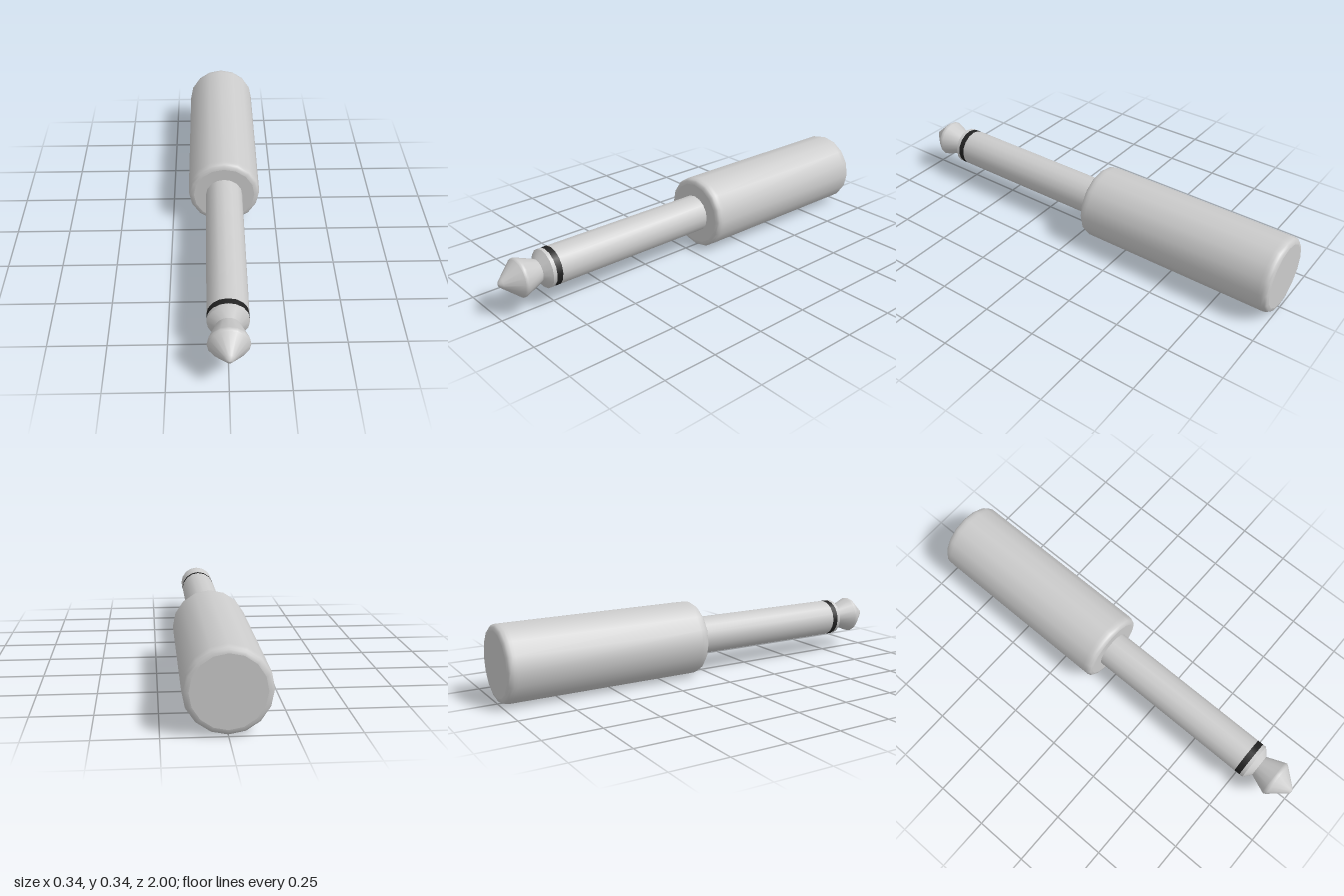
import * as THREE from 'three';

const AXIS_Y = 0.171;
const SIDES = 16;

export function createModel() {
  const model = new THREE.Group();
  const grey = new THREE.MeshStandardMaterial({ color: 0xcccccc });
  const black = new THREE.MeshStandardMaterial({ color: 0x222222 });

  // Revolves [radius, z] runs (back to front) about the z axis; edges between runs stay sharp
  function turned(name, runs, material = grey) {
    const part = new THREE.Group();
    part.name = name;
    runs.forEach((run, i) => {
      const points = run.map(([r, z]) => new THREE.Vector2(r, z));
      const geometry = new THREE.LatheGeometry(points, SIDES);
      geometry.rotateX(Math.PI / 2);
      const mesh = new THREE.Mesh(geometry, material);
      mesh.name = `${name}Surface${i + 1}`;
      mesh.position.y = AXIS_Y;
      part.add(mesh);
    });
    model.add(part);
  }

  // Handle sleeve with softly rounded ends
  turned('handle', [
    [[0, -1], [0.145, -1]],
    [[0.145, -1], [0.158, -0.997], [0.166, -0.989], [0.17, -0.975], [0.17, -0.96]],
    [[0.17, -0.96], [0.17, -0.095]],
    [[0.17, -0.095], [0.17, -0.08], [0.166, -0.066], [0.158, -0.058], [0.145, -0.055]],
    [[0.145, -0.055], [0.08, -0.055]],
  ]);

  // Long contact shaft
  turned('shaft', [[[0.087, -0.06], [0.087, 0.745]]]);

  // Insulating ring
  turned('insulator', [[[0.087, 0.745], [0.087, 0.773]]], black);

  // Collar narrowing into the neck
  turned('collar', [
    [[0.087, 0.773], [0.087, 0.79]],
    [[0.087, 0.79], [0.052, 0.818]],
  ]);

  // Double-cone tip
  turned('tip', [
    [[0.052, 0.818], [0.084, 0.898]],
    [[0.084, 0.898], [0.087, 0.908], [0.082, 0.916]],
    [[0.082, 0.916], [0.022, 0.985], [0.012, 0.996], [0, 1]],
  ]);

  return model;
}
